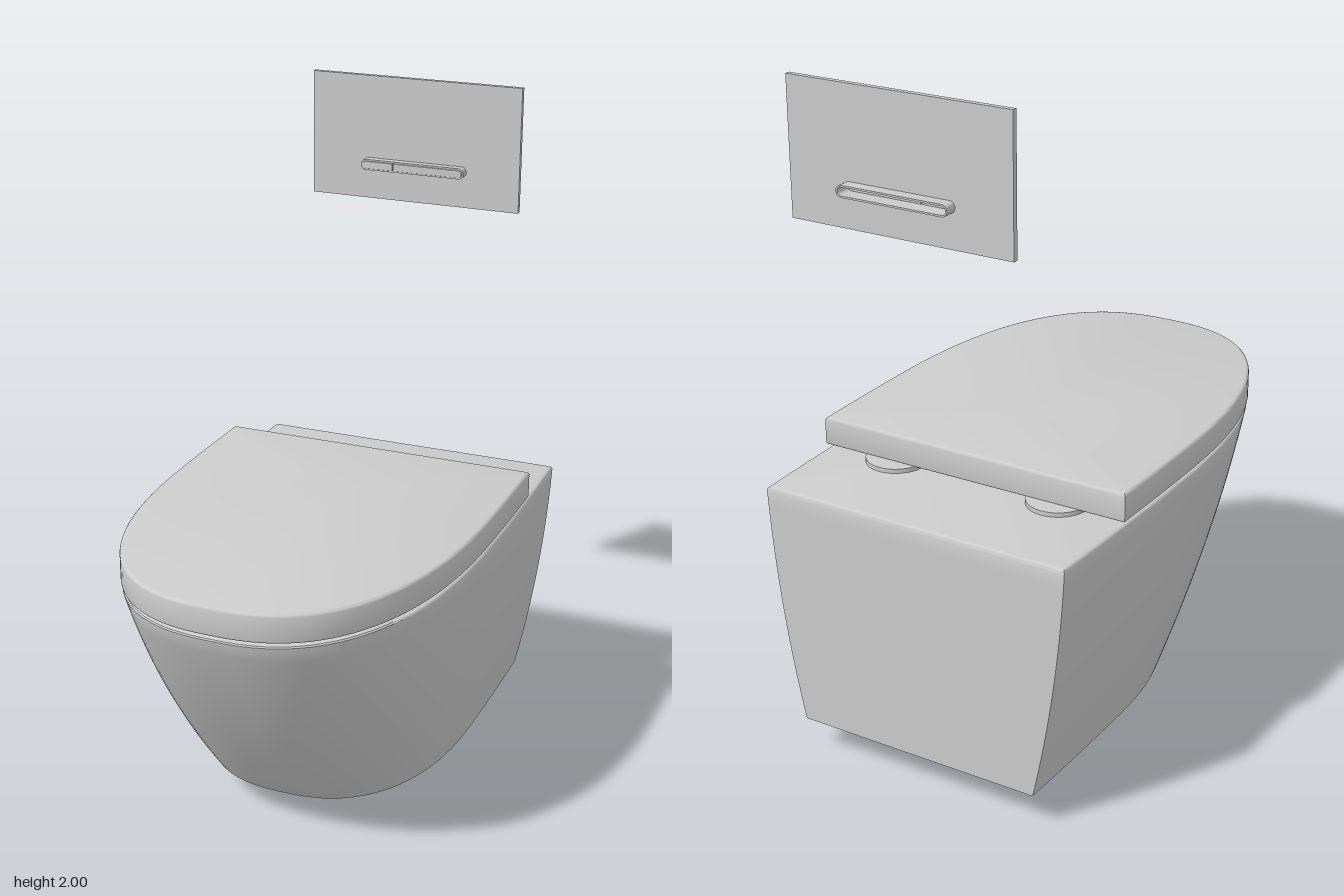
import * as THREE from 'three';
import { toCreasedNormals } from 'three/addons/utils/BufferGeometryUtils.js';

const material = new THREE.MeshStandardMaterial({ color: 0xcccccc });
const ARC = 56, SIDE = 8;

// Closed D-shaped ring at height y: rounded front, slightly tapering sides, flat back.
function dRing(y, w, front, back, c, inset = 0) {
  const pts = [];
  const hw = w - inset, f = front - inset, b = back + inset;
  const side = (z) => hw * (1 - 0.03 * ((c - z) / 0.62) ** 2);
  for (let i = 0; i < SIDE; i++) {
    const z = b + (c - b) * i / SIDE;
    pts.push([side(z), y, z]);
  }
  for (let i = 0; i <= ARC; i++) {
    const a = Math.PI * i / ARC, co = Math.cos(a);
    const x = Math.sign(co) * Math.abs(co) ** 0.8;
    pts.push([hw * x, y, c + (f - c) * Math.max(0, Math.sin(a)) ** 0.8]);
  }
  for (let i = SIDE - 1; i >= 0; i--) {
    const z = b + (c - b) * i / SIDE;
    pts.push([-side(z), y, z]);
  }
  return pts;
}

// Skin over a stack of equal rings, closed with a flat cap at both ends.
function loft(rings) {
  const n = rings[0].length, index = [];
  const position = rings.flat(2);
  for (let k = 0; k < rings.length - 1; k++) {
    for (let i = 0; i < n; i++) {
      const j = (i + 1) % n;
      const a = k * n + i, b = k * n + j, c = b + n, d = a + n;
      index.push(a, d, c, a, c, b);
    }
  }
  const first = rings.length * n, top = (rings.length - 1) * n;
  position.push(0, rings[0][0][1], -0.1, 0, rings.at(-1)[0][1], -0.1);
  for (let i = 0; i < n; i++) {
    const j = (i + 1) % n;
    index.push(first, i, j, first + 1, top + j, top + i);
  }
  const g = new THREE.BufferGeometry();
  g.setAttribute('position', new THREE.Float32BufferAttribute(position, 3));
  g.setIndex(index);
  return toCreasedNormals(g, 0.6);
}

// Outline running from x0 to x1 with optional round ends.
function pill(x0, x1, r, roundLeft = true, roundRight = true, PathType = THREE.Shape) {
  const s = new PathType();
  s.moveTo(roundLeft ? x0 + r : x0, -r);
  if (roundRight) s.absarc(x1 - r, 0, r, -Math.PI / 2, Math.PI / 2, false);
  else s.lineTo(x1, -r).lineTo(x1, r);
  if (roundLeft) s.absarc(x0 + r, 0, r, Math.PI / 2, Math.PI * 1.5, false);
  else s.lineTo(x0, r).lineTo(x0, -r);
  return s;
}

function extrude(shape, z0, z1, bevel = 0) {
  const g = new THREE.ExtrudeGeometry(shape, {
    depth: z1 - z0 - 2 * bevel, bevelEnabled: bevel > 0, bevelSize: bevel,
    bevelThickness: bevel, bevelOffset: -bevel, bevelSegments: 2, curveSegments: 10,
  });
  return toCreasedNormals(g.translate(0, 0, z0 + bevel), 0.6);
}

export function createModel() {
  const group = new THREE.Group();
  const add = (name, geometry, x = 0, y = 0, z = 0, parent = group) => {
    const mesh = new THREE.Mesh(geometry, material);
    mesh.name = name;
    mesh.position.set(x, y, z);
    parent.add(mesh);
    return mesh;
  };

  // Bowl: outer skin bulging up from the foot, with a recess underneath
  const y0 = 0.1, y1 = 0.815;
  const bowlRing = (y, inset = 0) => {
    const t = (y - y0) / (y1 - y0), bulge = t * (1 - t);
    return dRing(y, 0.385 + 0.107 * t + 0.062 * bulge, 0.32 + 0.445 * t + 0.14 * bulge,
      -0.725, -0.3 + 0.2 * t, inset);
  };
  const bowl = [bowlRing(0.25, 0.04), bowlRing(y0, 0.035)];
  for (let i = 0; i <= 16; i++) bowl.push(bowlRing(y0 + (y1 - 0.012 - y0) * i / 16));
  for (const a of [30, 60, 90]) {
    const r = a * Math.PI / 180;
    bowl.push(bowlRing(y1 - 0.012 * (1 - Math.sin(r)), 0.012 * (1 - Math.cos(r))));
  }
  add('bowl', loft(bowl));

  // Rounded trap hanging in the recess
  const trap = add('trap', new THREE.SphereGeometry(1, 40, 28), 0, 0.18, -0.165);
  trap.scale.set(0.14, 0.18, 0.205);

  // Lid with softly rounded upper and lower edges
  const lid = [];
  const lidRing = (y, inset) => lid.push(dRing(y, 0.494, 0.765, -0.432, -0.1, inset));
  const arc = [0, 30, 60, 90].map((d) => d * Math.PI / 180);
  for (const a of arc) lidRing(0.825 + 0.006 * (1 - Math.sin(a)), 0.006 * (1 - Math.cos(a)));
  lid.reverse();
  lid.sort((p, q) => p[0][1] - q[0][1]);
  for (const a of arc) lidRing(0.91 - 0.01 * (1 - Math.sin(a)), 0.01 * (1 - Math.cos(a)));
  add('lid', loft(lid));

  // Hinge discs between bowl and lid
  for (const s of [1, -1]) {
    add(s > 0 ? 'leftHinge' : 'rightHinge',
      new THREE.CylinderGeometry(0.09, 0.09, 0.018, 40), s * 0.265, 0.819, -0.398);
  }

  // Wall plate with a slot for the flush buttons
  const flush = new THREE.Group();
  flush.name = 'flushPlate';
  flush.position.y = 1.73;
  group.add(flush);
  const plate = new THREE.Shape();
  plate.moveTo(-0.335, -0.11).lineTo(0.335, -0.11).lineTo(0.335, 0.27).lineTo(-0.335, 0.27).closePath();
  plate.holes.push(pill(-0.165, 0.165, 0.0155, true, true, THREE.Path));
  add('plate', extrude(plate, -0.729, -0.713), 0, 0, 0, flush);

  // Hollow sleeve and the two buttons inside it
  const sleeve = pill(-0.167, 0.167, 0.0165);
  sleeve.holes.push(pill(-0.162, 0.162, 0.0115, true, true, THREE.Path));
  add('buttonSleeve', extrude(sleeve, -0.765, -0.687), 0, 0, 0, flush);
  add('smallButton', extrude(pill(-0.162, -0.062, 0.0115, true, false), -0.72, -0.682, 0.002), 0, 0, 0, flush);
  add('largeButton', extrude(pill(-0.059, 0.162, 0.0115, false, true), -0.72, -0.682, 0.002), 0, 0, 0, flush);

  return group;
}
